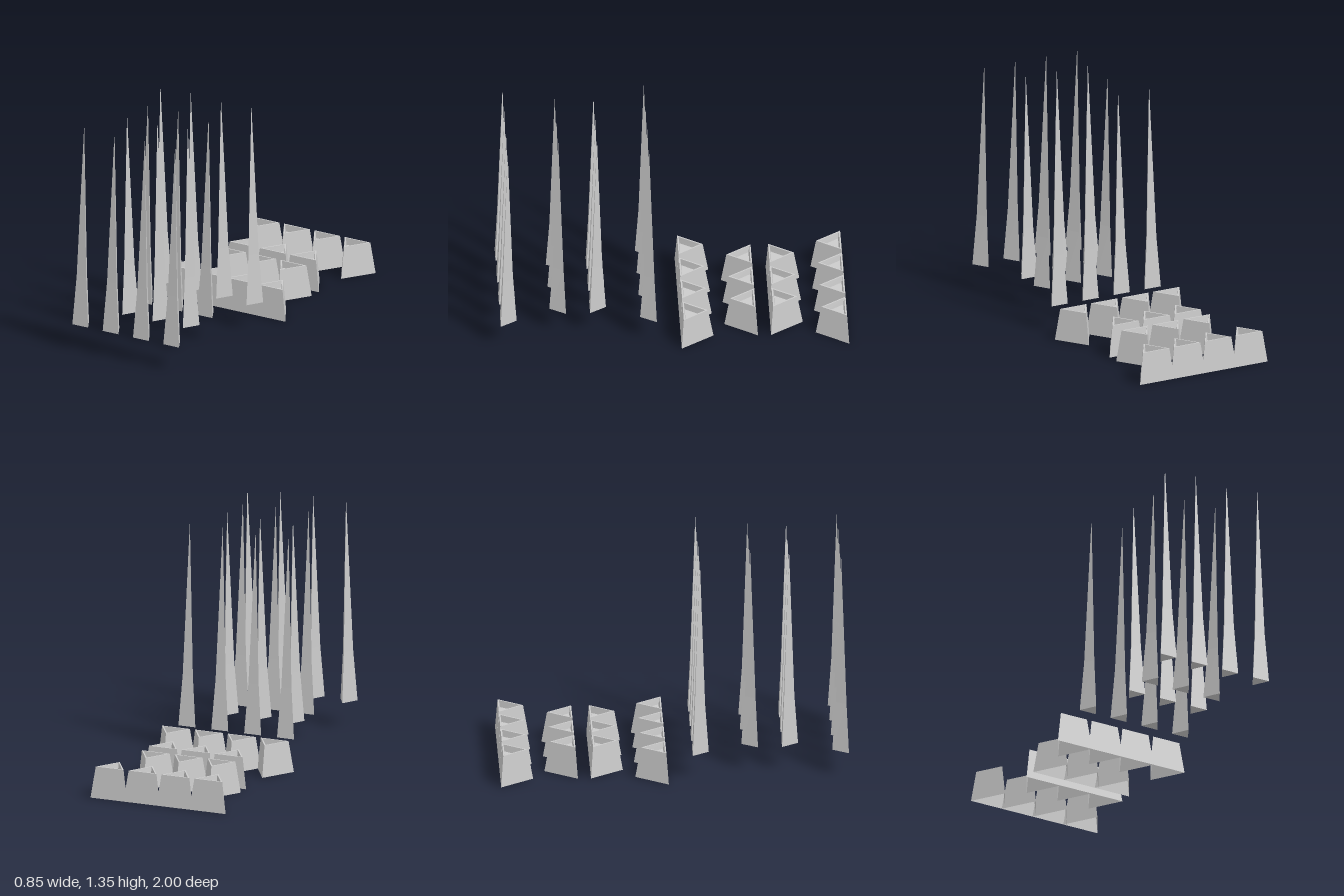
import * as THREE from 'three';

const PITCH = 0.2065;

// Lofts triangular sections [y, halfWidth, flatZ, tipZ]; the tip points to +z.
function triangleLoft(sections, capBottom, capTop) {
  const rings = sections.map(([y, w, flat, tip]) => [
    new THREE.Vector3(-w, y, flat),
    new THREE.Vector3(0, y, tip),
    new THREE.Vector3(w, y, flat),
  ]);
  const points = [];
  for (let s = 0; s < rings.length - 1; s++) {
    for (let i = 0; i < 3; i++) {
      const j = (i + 1) % 3;
      const a = rings[s][i], b = rings[s][j], c = rings[s + 1][j], d = rings[s + 1][i];
      points.push(a, b, c, a, c, d);
    }
  }
  if (capBottom) points.push(rings[0][2], rings[0][1], rings[0][0]);
  if (capTop) points.push(...rings[rings.length - 1]);
  const geometry = new THREE.BufferGeometry().setFromPoints(points);
  geometry.computeVertexNormals();
  return geometry;
}

// A row of equal parts centred on x = 0; tipDir is the z direction of the tips.
function makeRow(name, geometry, material, count, flatZ, tipDir) {
  const row = new THREE.Group();
  row.name = name + 'Row';
  for (let i = 0; i < count; i++) {
    const mesh = new THREE.Mesh(geometry, material);
    mesh.name = name;
    mesh.position.set((i - (count - 1) / 2) * PITCH, 0, flatZ);
    if (tipDir < 0) mesh.rotation.y = Math.PI;
    row.add(mesh);
  }
  return row;
}

export function createModel() {
  const model = new THREE.Group();
  model.name = 'spikesAndSockets';
  const solid = new THREE.MeshStandardMaterial({ color: 0xcccccc, flatShading: true });
  const shell = new THREE.MeshStandardMaterial({ color: 0xcccccc, flatShading: true, side: THREE.DoubleSide });

  // Tall three-sided spike: flared foot, then a long taper to a point
  const spike = triangleLoft([
    [0.15, 0.0535, 0, 0.094],
    [0.45, 0.032, 0.013, 0.073],
    [1.35, 0.0005, 0.042, 0.043],
  ], true, true);

  // Socket: hollow tapered shell, open below, with a rim and shallow pocket on top
  const socket = triangleLoft([
    [0, 0.115, 0, 0.188],
    [0.185, 0.0875, 0.013, 0.156],
    [0.185, 0.074, 0.021, 0.141],
    [0.145, 0.066, 0.026, 0.132],
  ], false, true);

  // [count, z of the flat side, tip direction]
  const spikeRows = [[4, 0.103, 1], [3, 0.482, -1], [3, 0.62, 1], [4, 1, -1]];
  const socketRows = [[4, -1, 1], [3, -0.555, -1], [3, -0.48, 1], [4, -0.037, -1]];
  for (const [n, z, dir] of spikeRows) model.add(makeRow('spike', spike, solid, n, z, dir));
  for (const [n, z, dir] of socketRows) model.add(makeRow('socket', socket, shell, n, z, dir));
  return model;
}
